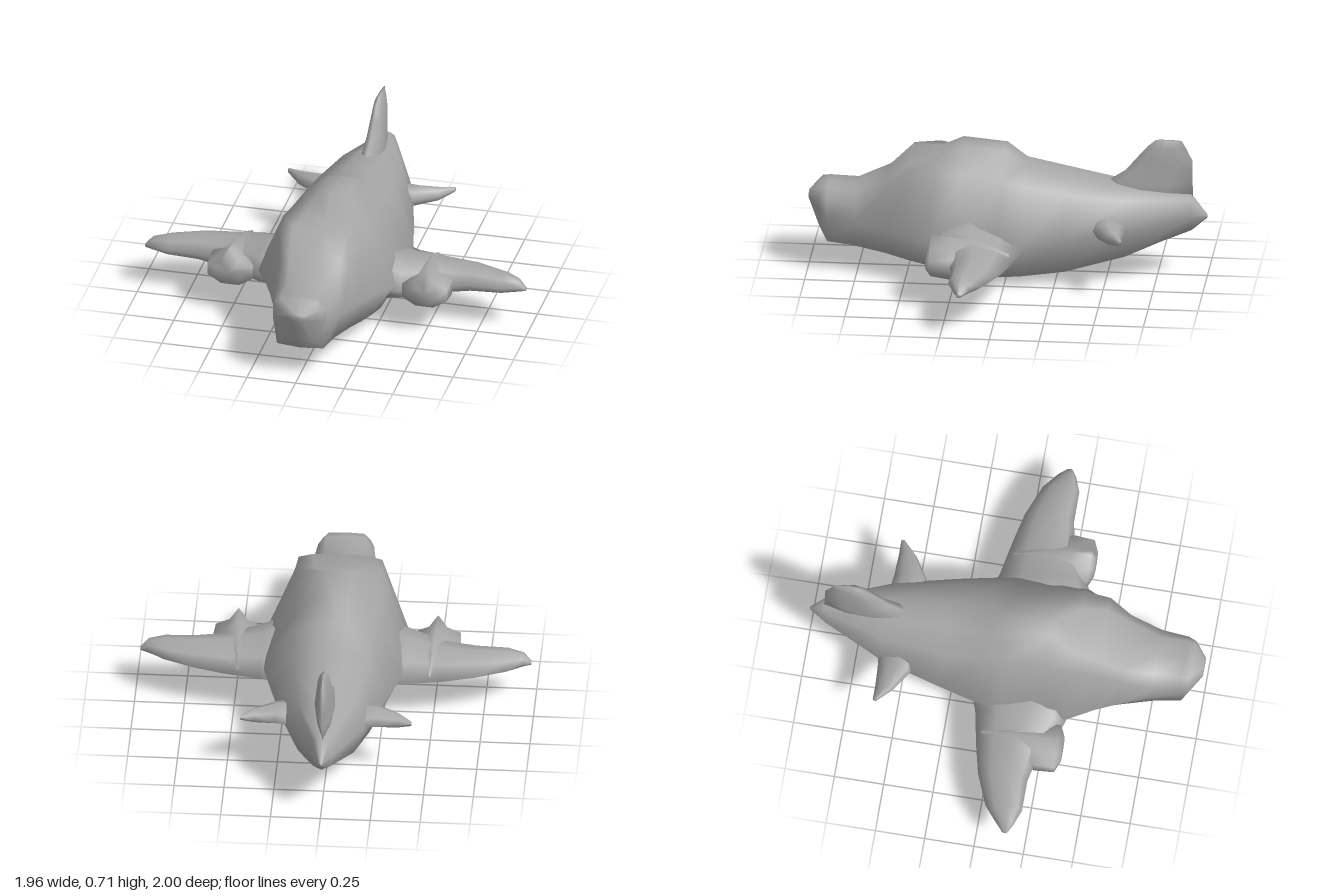
import * as THREE from 'three';

// Skin a list of closed rings (arrays of [x, y, z]) and cap both ends.
function loft(rings) {
  const n = rings[0].length, pos = rings.flat(2), idx = [];
  for (let r = 0; r < rings.length - 1; r++) {
    for (let i = 0; i < n; i++) {
      const a = r * n + i, b = r * n + (i + 1) % n;
      idx.push(a, b, a + n, b, b + n, a + n);
    }
  }
  [0, rings.length - 1].forEach((r, end) => {
    const c = pos.length / 3;
    for (let k = 0; k < 3; k++) pos.push(rings[r].reduce((s, p) => s + p[k], 0) / n);
    for (let i = 0; i < n; i++) {
      const a = r * n + i, b = r * n + (i + 1) % n;
      if (end) idx.push(a, b, c); else idx.push(b, a, c);
    }
  });
  // Turn the faces outwards when the rings run the other way
  const v = (i) => new THREE.Vector3().fromArray(pos, i * 3);
  let volume = 0;
  for (let i = 0; i < idx.length; i += 3) {
    volume += v(idx[i]).dot(v(idx[i + 1]).cross(v(idx[i + 2])));
  }
  if (volume < 0) idx.reverse();
  const g = new THREE.BufferGeometry();
  g.setAttribute('position', new THREE.Float32BufferAttribute(pos, 3));
  g.setIndex(idx);
  g.computeVertexNormals();
  return g;
}

// Eight-sided aerofoil outline as [chord position, height] pairs
function foil(lead, trail, low, high) {
  const at = (t, h) => [lead + (trail - lead) * t, low + (high - low) * h];
  return [at(0, 0.45), at(0.12, 0.85), at(0.4, 1), at(0.75, 0.75),
    at(1, 0.45), at(0.75, 0.15), at(0.4, 0), at(0.12, 0.1)];
}

export function createModel() {
  const model = new THREE.Group();
  const grey = new THREE.MeshStandardMaterial({ color: 0xa6a6a6 });
  grey.name = 'grey';
  const add = (name, rings) => {
    const mesh = new THREE.Mesh(loft(rings), grey);
    mesh.name = name;
    model.add(mesh);
  };

  // Fuselage: z, bottom, top, half width of spine, shoulder (x, y), widest (x, y), belly (x, y)
  const stations = [
    [1.0, 0.35, 0.39, 0.02, 0.04, 0.38, 0.05, 0.37, 0.03, 0.355],
    [0.94, 0.2, 0.44, 0.09, 0.12, 0.4, 0.13, 0.34, 0.08, 0.22],
    [0.9, 0.15, 0.44, 0.1, 0.14, 0.39, 0.14, 0.3, 0.12, 0.16],
    [0.76, 0.135, 0.435, 0.1, 0.16, 0.37, 0.17, 0.28, 0.14, 0.15],
    [0.6, 0.11, 0.5, 0.13, 0.18, 0.46, 0.23, 0.27, 0.18, 0.13],
    [0.49, 0.09, 0.605, 0.14, 0.21, 0.58, 0.28, 0.27, 0.21, 0.11],
    [0.36, 0.065, 0.605, 0.12, 0.22, 0.59, 0.35, 0.26, 0.24, 0.09],
    [0.23, 0.04, 0.68, 0.07, 0.21, 0.57, 0.36, 0.26, 0.25, 0.06],
    [0.01, 0.0, 0.66, 0.07, 0.2, 0.54, 0.36, 0.26, 0.24, 0.045],
    [-0.09, 0.01, 0.58, 0.08, 0.2, 0.52, 0.34, 0.26, 0.23, 0.05],
    [-0.3, 0.03, 0.54, 0.07, 0.19, 0.48, 0.29, 0.28, 0.2, 0.07],
    [-0.6, 0.1, 0.48, 0.06, 0.15, 0.44, 0.21, 0.3, 0.14, 0.14],
    [-0.92, 0.24, 0.43, 0.02, 0.04, 0.41, 0.06, 0.33, 0.04, 0.26],
    [-1.0, 0.31, 0.33, 0.003, 0.006, 0.325, 0.008, 0.32, 0.004, 0.315],
  ];
  add('fuselage', stations.map(([z, bottom, top, xt, xs, ys, xw, yw, xb, yb]) => {
    const half = [[xt, top - 0.005], [xs, ys], [xw, yw], [xb, yb]];
    return [[0, top], ...half, [0, bottom], ...half.map(([x, y]) => [-x, y]).reverse()]
      .map(([x, y]) => [x, y, z]);
  }));

  for (const [side, s] of [['left', 1], ['right', -1]]) {
    // Spanwise surfaces: x, leading z, trailing z, underside, top
    const span = (list) => list.map(([x, ...f]) => foil(...f).map(([z, y]) => [s * x, y, z]));
    add(side + 'Wing', span([
      [0.2, 0.4, -0.16, 0.13, 0.4],
      [0.37, 0.35, -0.1, 0.15, 0.33],
      [0.55, 0.25, -0.065, 0.16, 0.315],
      [0.7, 0.22, -0.03, 0.18, 0.305],
      [0.86, 0.22, 0.035, 0.195, 0.29],
      [0.94, 0.19, 0.1, 0.205, 0.275],
      [0.98, 0.165, 0.14, 0.21, 0.23],
    ]));
    add(side + 'Tailplane', span([
      [0.12, -0.42, -0.63, 0.26, 0.37],
      [0.25, -0.45, -0.615, 0.265, 0.36],
      [0.36, -0.52, -0.61, 0.28, 0.35],
      [0.43, -0.59, -0.61, 0.31, 0.335],
    ]));

    // Engine pod: z, centre x, half width, underside, shoulder, ridge
    const pod = [
      [0.365, 0.5, 0.06, 0.18, 0.25, 0.28],
      [0.34, 0.5, 0.115, 0.155, 0.26, 0.36],
      [0.24, 0.5, 0.12, 0.14, 0.27, 0.35],
      [0.1, 0.49, 0.09, 0.155, 0.28, 0.33],
      [-0.05, 0.48, 0.02, 0.22, 0.24, 0.26],
    ];
    add(side + 'EnginePod', pod.map(([z, x, w, low, mid, high]) => [
      [0, high], [0.4, mid + 0.3 * (high - mid)], [1, mid], [1, low + 0.4 * (mid - low)],
      [0.4, low], [-0.4, low], [-1, low + 0.4 * (mid - low)], [-1, mid],
      [-0.4, mid + 0.3 * (high - mid)],
    ].map(([k, y]) => [s * (x + k * w), y, z])));
  }

  // Fin: y, leading z, trailing z, half thickness
  const fin = [
    [0.38, -0.45, -0.93, 0.06],
    [0.49, -0.5, -0.925, 0.05],
    [0.55, -0.59, -0.925, 0.042],
    [0.61, -0.64, -0.925, 0.036],
    [0.68, -0.7, -0.89, 0.028],
    [0.715, -0.74, -0.87, 0.01],
  ];
  add('fin', fin.map(([y, lead, trail, w]) =>
    foil(lead, trail, -w, w).map(([z, x]) => [x, y, z])));

  return model;
}
